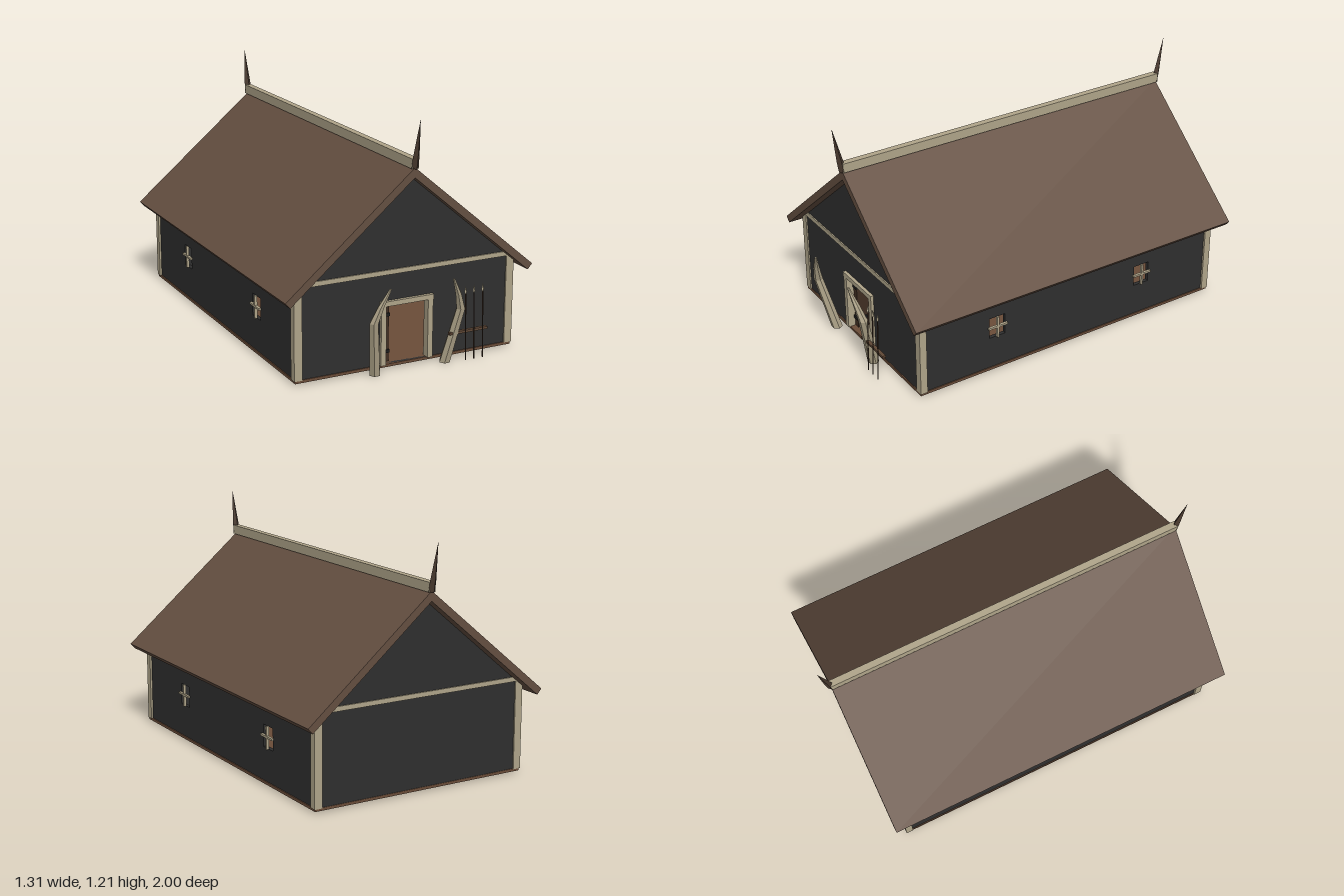
import * as THREE from 'three';

const mat = (name, color, extra = {}) => {
  const m = new THREE.MeshStandardMaterial({ color, flatShading: true, ...extra });
  m.name = name;
  return m;
};

export function createModel() {
  const wall = mat('dark wall', 0x2f2f2f);
  const pale = mat('pale timber', 0xb0a58a);
  const roofBrown = mat('roof brown', 0x644f41);
  const floorBrown = mat('floor brown', 0x6a4c38);
  const wood = mat('plain wood', 0x5f4735);
  const doorWood = mat('door wood', 0x402e22);
  const hornDark = mat('dark spike', 0x4a3a2f);
  const iron = mat('iron', 0x1d1d1d);

  const root = new THREE.Group();
  root.name = 'longhouse';

  const add = (name, geo, material, parent = root) => {
    const m = new THREE.Mesh(geo, material);
    m.name = name;
    parent.add(m);
    return m;
  };
  // box given by its limits
  const box = (name, material, x0, x1, y0, y1, z0, z1, parent) => {
    const g = new THREE.BoxGeometry(x1 - x0, y1 - y0, z1 - z0);
    g.translate((x0 + x1) / 2, (y0 + y1) / 2, (z0 + z1) / 2);
    return add(name, g, material, parent);
  };
  const poly = (pts, Type = THREE.Shape) => new Type(pts.map(p => new THREE.Vector2(...p)));
  const rect = (x0, x1, y0, y1) => poly([[x0, y0], [x0, y1], [x1, y1], [x1, y0]], THREE.Path);
  const extrude = (shape, depth) => new THREE.ExtrudeGeometry(shape, { depth, bevelEnabled: false });
  // bent, tapering prism through rings [x, y, z, radius], bottom to top
  const horn = (rings, sides, turn = 0) => {
    const n = rings.length - 1;
    const g = new THREE.CylinderGeometry(1, 1, n, sides, n);
    g.rotateY(turn);
    const p = g.attributes.position;
    for (let i = 0; i < p.count; i++) {
      const [x, y, z, r] = rings[Math.round(p.getY(i) + n / 2)];
      p.setXYZ(i, x + p.getX(i) * r, y, z + p.getZ(i) * r);
    }
    g.computeVertexNormals();
    return g;
  };

  const front = 0.845, back = -0.89;

  // floor
  box('floor', floorBrown, -0.58, 0.58, 0.012, 0.026, -0.893, 0.85);

  // gable walls, the front one with the doorway
  const gable = () => poly([[-0.572, 0.016], [0.572, 0.016], [0.572, 0.455], [0, 0.94], [-0.572, 0.455]]);
  const frontShape = gable();
  frontShape.holes.push(rect(-0.125, 0.122, 0.026, 0.325));
  add('frontWall', extrude(frontShape, 0.02), wall).position.z = front - 0.02;
  add('backWall', extrude(gable(), 0.02), wall).position.z = back;

  // side walls with two window openings each
  const windows = [0.415, -0.455];
  for (const s of [1, -1]) {
    const shape = poly([[-front, 0.016], [-back, 0.016], [-back, 0.46], [-front, 0.46]]);
    for (const z of windows) shape.holes.push(rect(-z - 0.045, -z + 0.045, 0.193, 0.303));
    const g = extrude(shape, 0.02);
    g.rotateY(Math.PI / 2);
    add(s > 0 ? 'leftWall' : 'rightWall', g, wall).position.x = s > 0 ? 0.555 : -0.575;
    for (const z of windows) {
      const x0 = s * 0.58 - 0.007, x1 = s * 0.58 + 0.007;
      box('windowUpright', pale, x0, x1, 0.19, 0.305, z - 0.005, z + 0.005);
      box('windowCrossbar', pale, x0, x1, 0.247, 0.257, z - 0.054, z + 0.054);
    }
    // corner posts
    const px = s * 0.5645;
    box('frontPost', pale, px - 0.0205, px + 0.0205, 0.024, 0.468, 0.815, 0.852);
    box('backPost', pale, px - 0.0205, px + 0.0205, 0.024, 0.468, -0.897, -0.86);
  }
  box('frontBeam', pale, -0.56, 0.56, 0.467, 0.49, 0.83, 0.851);
  box('backBeam', pale, -0.56, 0.56, 0.467, 0.49, -0.896, -0.875);

  // roof
  const roof = poly([[0, 0.98], [-0.654, 0.43], [-0.63, 0.403], [0, 0.932], [0.63, 0.403], [0.654, 0.43]]);
  add('roof', extrude(roof, 1.865), roofBrown).position.z = -0.957;
  box('ridgeBeam', pale, -0.017, 0.017, 0.975, 1.022, -0.96, 0.91);

  // ridge spikes at both ends
  for (const [name, z, s] of [['frontSpike', 0.905, 1], ['backSpike', -0.955, -1]]) {
    add(name, horn([[0, 0.975, z, 0.018], [0, 1.03, z + s * 0.01, 0.017], [0, 1.21, z + s * 0.045, 0.0005]], 4), hornDark);
  }

  // door frame
  box('doorFrameSide', pale, -0.14, -0.113, 0.024, 0.32, 0.82, 0.86);
  box('doorFrameSide', pale, 0.11, 0.137, 0.024, 0.32, 0.82, 0.86);
  box('doorFrameTop', pale, -0.142, 0.139, 0.316, 0.34, 0.82, 0.862);

  // door standing open inwards, with hinges
  const door = new THREE.Group();
  door.name = 'openDoor';
  root.add(door);
  box('doorLeaf', doorWood, -0.112, -0.08, 0.028, 0.31, 0.61, 0.822, door);
  for (const y of [0.08, 0.262]) box('hinge', iron, -0.112, -0.077, y - 0.008, y + 0.008, 0.77, 0.828, door);

  // table and bench inside
  box('tableTop', wood, -0.25, 0.1, 0.128, 0.138, -0.15, 0.1);
  for (const x of [-0.24, 0.085]) for (const z of [-0.14, 0.09])
    box('tableLeg', doorWood, x - 0.008, x + 0.008, 0.026, 0.128, z - 0.008, z + 0.008);
  box('shelf', wood, 0.09, 0.4, 0.167, 0.178, -0.6, -0.5);
  for (const x of [0.13, 0.38]) box('shelfLeg', doorWood, x - 0.008, x + 0.008, 0.026, 0.167, -0.56, -0.54);

  // tusks flanking the doorway
  for (const s of [1, -1]) {
    add(s > 0 ? 'leftTusk' : 'rightTusk', horn([
      [s * 0.188, 0.002, 0.888, 0.028],
      [s * 0.23, 0.285, 0.955, 0.023],
      [s * 0.205, 0.365, 0.974, 0.016],
      [s * 0.167, 0.45, 0.993, 0.006],
    ], 6, Math.PI / 6), pale);
  }

  // spear rack
  const rack = new THREE.Group();
  rack.name = 'spearRack';
  root.add(rack);
  box('rackRail', wood, 0.18, 0.388, 0.153, 0.165, 0.926, 0.944, rack);
  for (const x of [0.262, 0.308, 0.356]) {
    add('spearShaft', horn([[x, 0.02, 0.957, 0.003], [x, 0.352, 0.944, 0.003]], 6), doorWood, rack);
    add('spearHead', horn([[x, 0.345, 0.944, 0.003], [x, 0.356, 0.944, 0.007], [x, 0.385, 0.943, 0.0005]], 4), pale, rack);
  }

  return root;
}
